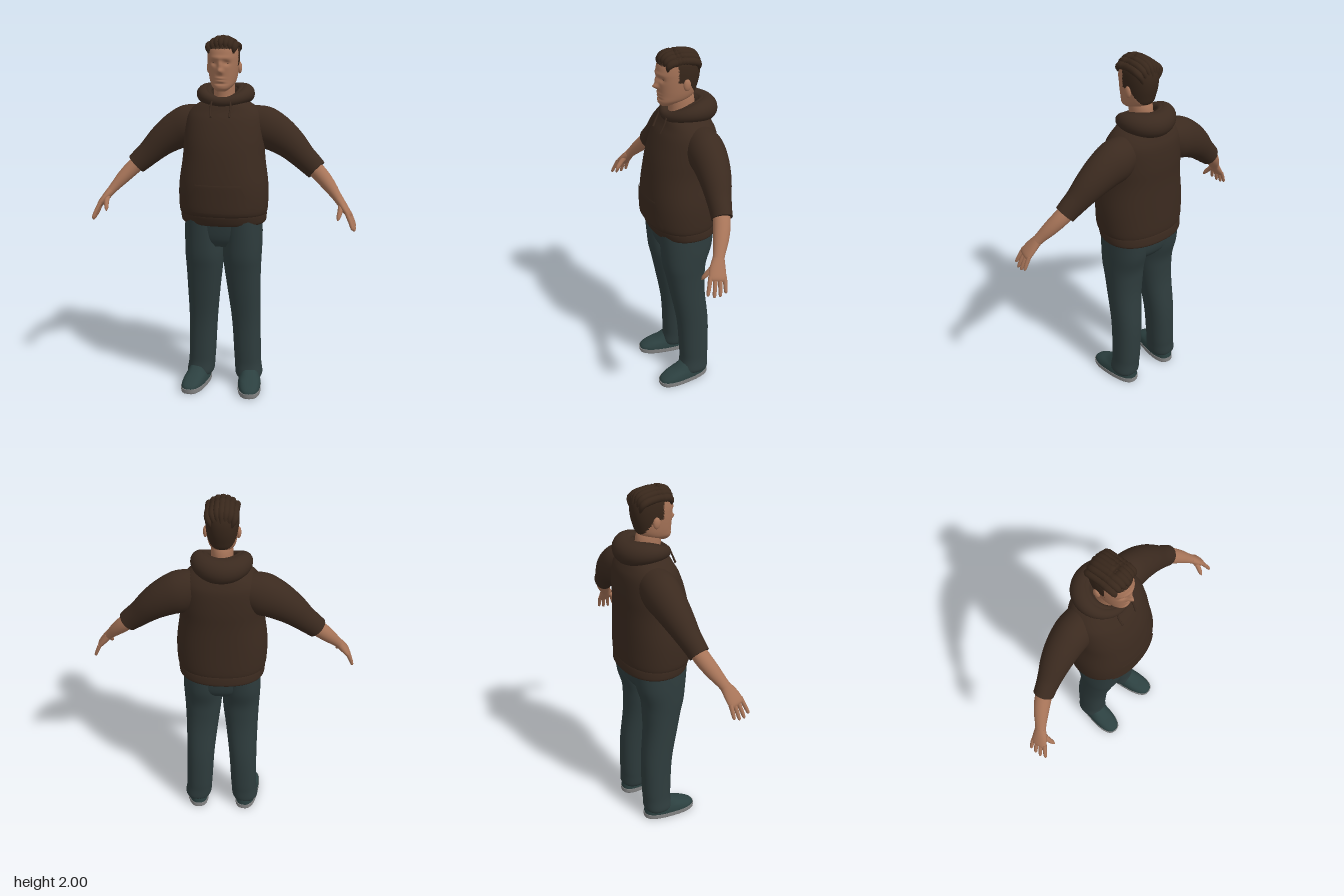
import * as THREE from 'three';
import { mergeVertices } from 'three/addons/utils/BufferGeometryUtils.js';

const mat = (name, color) => Object.assign(new THREE.MeshStandardMaterial({ color }), { name });

// Catmull-Rom blend of rows of numbers, k steps per span
function smooth(rows, k) {
  const out = [], last = rows.length - 1;
  for (let i = 0; i < last; i++) {
    const [a, b, c, d] = [rows[Math.max(i - 1, 0)], rows[i], rows[i + 1], rows[Math.min(i + 2, last)]];
    for (let s = 0; s < k; s++) {
      const t = s / k;
      out.push(b.map((_, m) => b[m] + 0.5 * t * (c[m] - a[m] +
        t * (2 * a[m] - 5 * b[m] + 4 * c[m] - d[m] + t * (3 * (b[m] - c[m]) + d[m] - a[m])))));
    }
  }
  out.push(rows[last]);
  return out;
}

// Skin over rings [x, y, z, sideRadius, depthRadius, spread?]; spread < PI leaves an open strip
function loft(rows, { p = 2, k = 4, n = 28, upright = false } = {}) {
  const R = smooth(rows, k), pos = [], idx = [], open = rows[0].length > 5;
  const w = open ? n + 1 : n;
  const pw = (v) => Math.sign(v) * Math.abs(v) ** (2 / p);
  const rings = R.map((r, i) => {
    const d = new THREE.Vector3(0, 1, 0);
    if (!upright) {
      const a = R[Math.max(i - 1, 0)], b = R[Math.min(i + 1, R.length - 1)];
      d.set(b[0] - a[0], b[1] - a[1], b[2] - a[2]).normalize();
    }
    const v = new THREE.Vector3(0, 0, 1).addScaledVector(d, -d.z).normalize();
    const u = d.clone().cross(v);
    return Array.from({ length: w }, (_, j) => {
      const t = open ? r[5] * (2 * j / n - 1) : 2 * Math.PI * j / n;
      return new THREE.Vector3(r[0], r[1], r[2])
        .addScaledVector(u, r[3] * pw(Math.sin(t))).addScaledVector(v, r[4] * pw(Math.cos(t)));
    });
  });
  rings.forEach((ring) => ring.forEach((q) => pos.push(q.x, q.y, q.z)));
  for (let i = 0; i < R.length - 1; i++) for (let j = 0; j < n; j++) {
    const a = i * w + j, b = i * w + (j + 1) % w;
    idx.push(a, b, a + w, b, b + w, a + w);
  }
  // end caps
  if (!open) [0, R.length - 1].forEach((e) => {
    const c = pos.length / 3;
    pos.push(R[e][0], R[e][1], R[e][2]);
    rings[e].forEach((q) => pos.push(q.x, q.y, q.z));
    for (let j = 0; j < n; j++) {
      const a = c + 1 + j, b = c + 1 + (j + 1) % n;
      idx.push(c, ...(e ? [a, b] : [b, a]));
    }
  });
  const g = new THREE.BufferGeometry();
  g.setAttribute('position', new THREE.Float32BufferAttribute(pos, 3));
  g.setIndex(idx);
  g.computeVertexNormals();
  return g;
}

// Level rings [y, centreX, halfWidth, zBack, zFront, spread?]
const body = (rows, opt) => loft(rows.map(([y, x, rx, zb, zf, ...s]) =>
  [x, y, (zb + zf) / 2, rx, (zf - zb) / 2, ...s]), { p: 2.25, upright: true, ...opt });

function mirrored(geo) {
  const g = geo.clone(), p = g.attributes.position, ix = g.index.array;
  for (let i = 0; i < p.count; i++) p.setX(i, -p.getX(i));
  for (let i = 0; i < ix.length; i += 3) [ix[i], ix[i + 1]] = [ix[i + 1], ix[i]];
  g.computeVertexNormals();
  return g;
}

// Draped cloth ring around the neck: f is 1 at the front and -1 at the back
function drape(ax, az, cz, radius, height, level) {
  const g = new THREE.TorusGeometry(1, 0.3, 20, 56).rotateX(-Math.PI / 2);
  const p = g.attributes.position, uv = g.attributes.uv;
  for (let i = 0; i < p.count; i++) {
    const u = uv.getX(i) * 2 * Math.PI, v = uv.getY(i) * 2 * Math.PI, f = -Math.sin(u);
    const r = radius(f) * Math.cos(v);
    p.setXYZ(i, (ax + r) * Math.cos(u), level(f) + height(f) * Math.sin(v), cz + (az + r) * f);
  }
  g.deleteAttribute('uv');
  g.deleteAttribute('normal');
  const m = mergeVertices(g, 1e-5);
  m.computeVertexNormals();
  return m;
}

export function createModel() {
  const model = new THREE.Group();
  model.name = 'standingMan';
  const hoodie = mat('hoodieBrown', 0x3b2a1f), denim = mat('trouserTeal', 0x2e3c3d);
  const skin = mat('skin', 0xa87559), hair = mat('hairBrown', 0x38271b);
  const soleGrey = mat('soleGrey', 0x858585), shoeTeal = mat('shoeTeal', 0x2c4040);
  const add = (name, geo, m) => {
    const mesh = new THREE.Mesh(geo, m);
    mesh.name = name;
    model.add(mesh);
  };
  const pair = (name, geo, m) => {
    add(name + 'Left', geo, m);
    add(name + 'Right', mirrored(geo), m);
  };

  // Hoodie body, hem band and front pocket
  add('hoodieBody', body([
    [1.035, 0, 0.235, -0.178, 0.185], [1.07, 0, 0.245, -0.186, 0.203], [1.2, 0, 0.246, -0.186, 0.205],
    [1.35, 0, 0.226, -0.185, 0.187], [1.45, 0, 0.222, -0.188, 0.165], [1.55, 0, 0.212, -0.182, 0.128],
    [1.6, 0, 0.19, -0.165, 0.1], [1.64, 0, 0.14, -0.14, 0.08], [1.67, 0, 0.07, -0.1, 0.05]], { n: 48 }), hoodie);
  add('hemBand', body([[0.988, 0, 0.228, -0.18, 0.168], [1.0, 0, 0.236, -0.186, 0.178],
    [1.04, 0, 0.238, -0.184, 0.192], [1.055, 0, 0.232, -0.178, 0.188]], { n: 48 }), hoodie);
  add('frontPocket', body([[1.068, 0, 0.25, -0.186, 0.209, 0.72], [1.1, 0, 0.252, -0.186, 0.211, 0.72],
    [1.2, 0, 0.251, -0.186, 0.212, 0.5], [1.22, 0, 0.249, -0.186, 0.21, 0.48]]), hoodie);

  // Hood, its folded rim and the drawstrings
  add('hood', drape(0.115, 0.108, -0.03, (f) => 0.043 - 0.02 * f, (f) => 0.045 - 0.02 * f,
    (f) => 1.685 - 0.012 * f - 0.022 * f * f), hoodie);
  add('hoodRim', drape(0.092, 0.095, -0.028, (f) => 0.021 - 0.004 * f, (f) => 0.02 - 0.002 * f,
    (f) => 1.708 - 0.03 * f - 0.022 * f * f), hoodie);
  pair('drawstring', loft([[0.05, 1.655, 0.092, 0.005, 0.005], [0.054, 1.62, 0.106, 0.005, 0.005],
    [0.05, 1.575, 0.127, 0.006, 0.006]], { n: 8 }), hoodie);

  // Sleeves and forearms
  pair('sleeve', loft([[0.1, 1.545, -0.055, 0.085, 0.085], [0.2, 1.51, -0.057, 0.115, 0.098],
    [0.28, 1.475, -0.055, 0.105, 0.092], [0.36, 1.42, -0.046, 0.087, 0.08],
    [0.43, 1.355, -0.032, 0.07, 0.064], [0.475, 1.315, -0.022, 0.064, 0.056],
    [0.508, 1.285, -0.015, 0.059, 0.053]]), hoodie);
  pair('forearm', loft([[0.45, 1.335, -0.028, 0.042, 0.042], [0.52, 1.272, -0.008, 0.043, 0.044],
    [0.575, 1.215, 0.02, 0.037, 0.04], [0.62, 1.162, 0.05, 0.027, 0.031],
    [0.645, 1.13, 0.067, 0.023, 0.029]]), skin);

  // Hands
  pair('palm', loft([[0.635, 1.145, 0.06, 0.024, 0.03], [0.665, 1.105, 0.078, 0.021, 0.042],
    [0.692, 1.07, 0.09, 0.016, 0.045], [0.7, 1.058, 0.094, 0.006, 0.034]], { n: 20 }), skin);
  for (let i = 0; i < 4; i++) {
    const o = (i - 1.5) * 0.023, len = [0.82, 1, 1.06, 0.96][i];
    const at = (t, r) => [0.688 - o * 0.2 + (0.046 * t - 0.008 * t * t) * len,
      1.078 + o * 0.2 - 0.09 * t * len, 0.088 + o + (0.018 + o * 0.35) * t, r, r];
    pair('finger' + (i + 1), loft([at(0, 0.0115), at(0.5, 0.0105), at(0.9, 0.0085), at(1, 0.003)], { n: 10 }), skin);
  }
  pair('thumb', loft([[0.648, 1.125, 0.078, 0.016, 0.016], [0.648, 1.095, 0.11, 0.014, 0.014],
    [0.641, 1.062, 0.138, 0.011, 0.011], [0.638, 1.045, 0.15, 0.003, 0.003]], { n: 12 }), skin);

  // Trousers
  add('trouserSeat', body([[0.86, 0, 0.15, -0.1, 0.11], [0.91, 0, 0.205, -0.135, 0.14],
    [1.02, 0, 0.21, -0.15, 0.158]], { n: 40 }), denim);
  pair('trouserLeg', body([
    [0.055, 0.145, 0.07, -0.108, 0.05], [0.075, 0.143, 0.078, -0.116, 0.056], [0.13, 0.137, 0.076, -0.116, 0.048],
    [0.2, 0.133, 0.077, -0.12, 0.05], [0.4, 0.125, 0.081, -0.12, 0.062], [0.6, 0.115, 0.093, -0.1, 0.098],
    [0.72, 0.109, 0.102, -0.1, 0.122], [0.8, 0.108, 0.107, -0.108, 0.14],
    [0.9, 0.109, 0.108, -0.138, 0.15], [1.02, 0.108, 0.106, -0.152, 0.16]]), denim);

  // Shoes, toes turned out
  const turn = (g) => g.rotateY(0.14).translate(0.15, 0, 0);
  pair('shoeSole', turn(body([[0, 0, 0.062, -0.115, 0.19], [0.006, 0, 0.066, -0.118, 0.197],
    [0.03, 0, 0.067, -0.118, 0.2]], { p: 2.6 })), soleGrey);
  pair('shoeUpper', turn(body([[0.028, 0, 0.065, -0.115, 0.196], [0.045, 0, 0.064, -0.114, 0.187],
    [0.065, 0, 0.06, -0.112, 0.15], [0.085, 0, 0.054, -0.11, 0.095], [0.12, 0, 0.045, -0.1, 0.04]],
  { p: 2.5 })), shoeTeal);

  // Neck
  add('neck', body([[1.61, 0, 0.068, -0.1, 0.065], [1.67, 0, 0.058, -0.085, 0.058],
    [1.74, 0, 0.056, -0.078, 0.062], [1.78, 0, 0.048, -0.06, 0.05]], { p: 2 }), skin);

  // Head, with the face pushed out and in by soft bumps
  const head = body([
    [1.708, 0, 0.024, 0.05, 0.102], [1.722, 0, 0.043, 0.01, 0.115], [1.74, 0, 0.06, -0.045, 0.118],
    [1.765, 0, 0.07, -0.076, 0.116], [1.8, 0, 0.077, -0.09, 0.118], [1.85, 0, 0.083, -0.103, 0.122],
    [1.9, 0, 0.085, -0.106, 0.122], [1.94, 0, 0.08, -0.096, 0.11], [1.968, 0, 0.06, -0.072, 0.085],
    [1.982, 0, 0.02, -0.03, 0.04]], { n: 80, k: 8 });
  const bumps = [ // x, y, width, height, push
    [0, 1.815, 0.014, 0.014, 0.027], [0, 1.845, 0.011, 0.022, 0.014], [0, 1.882, 0.055, 0.01, 0.006],
    [0.034, 1.856, 0.017, 0.012, -0.012], [-0.034, 1.856, 0.017, 0.012, -0.012],
    [0, 1.777, 0.022, 0.006, 0.006], [0, 1.762, 0.02, 0.006, 0.006], [0, 1.748, 0.03, 0.006, -0.005]];
  const hp = head.attributes.position;
  for (let i = 0; i < hp.count; i++) {
    if (hp.getZ(i) < 0.04) continue;
    const x = hp.getX(i), y = hp.getY(i);
    hp.setZ(i, bumps.reduce((z, [bx, by, w, h, d]) =>
      z + d * Math.exp(-(((x - bx) / w) ** 2) - ((y - by) / h) ** 2), hp.getZ(i)));
  }
  head.computeVertexNormals();
  // Faces above the hairline take the hair colour
  const hairline = (z) => z > 0.035 ? 1.928 : z > -0.02 ? 1.84 : Math.max(1.75, 1.84 + (z + 0.02) * 1.6);
  const face = [], scalp = [], hi = head.index.array;
  for (let i = 0; i < hi.length; i += 3) {
    const t = [hi[i], hi[i + 1], hi[i + 2]];
    const mean = (f) => t.reduce((s, v) => s + f(v) / 3, 0);
    const isHair = mean((v) => hp.getY(v)) > hairline(mean((v) => hp.getZ(v)));
    (isHair ? scalp : face).push(...t);
  }
  head.setIndex([...face, ...scalp]);
  head.addGroup(0, face.length, 0);
  head.addGroup(face.length, scalp.length, 1);
  add('head', head, [skin, hair]);

  // Swept locks on top
  for (let i = -3; i <= 3; i++) {
    const a = Math.abs(i), x = i * 0.022, y = 1.974 - a * a * 0.0035;
    add('hairLock', loft([[x * 0.7, y - 0.06, -0.1 + a * 0.006, 0.006, 0.006], [x, y - 0.012, -0.075, 0.018, 0.018],
      [x, y + 0.003, -0.01, 0.02, 0.02], [x * 1.04, y + 0.003, 0.06, 0.02, 0.02],
      [x * 1.04, y - 0.014, 0.1 - a * 0.005, 0.016, 0.016],
      [x, y - 0.038, 0.113 - a * 0.008, 0.004, 0.004]], { n: 12 }), hair);
  }

  // Ears and eyes
  const blob = (x, y, z, a, b, c) => new THREE.SphereGeometry(1, 20, 14).scale(a, b, c).translate(x, y, z);
  pair('ear', blob(0.084, 1.828, -0.008, 0.012, 0.031, 0.02), skin);
  pair('eye', blob(0.034, 1.856, 0.096, 0.013, 0.004, 0.008), hair);
  return model;
}
